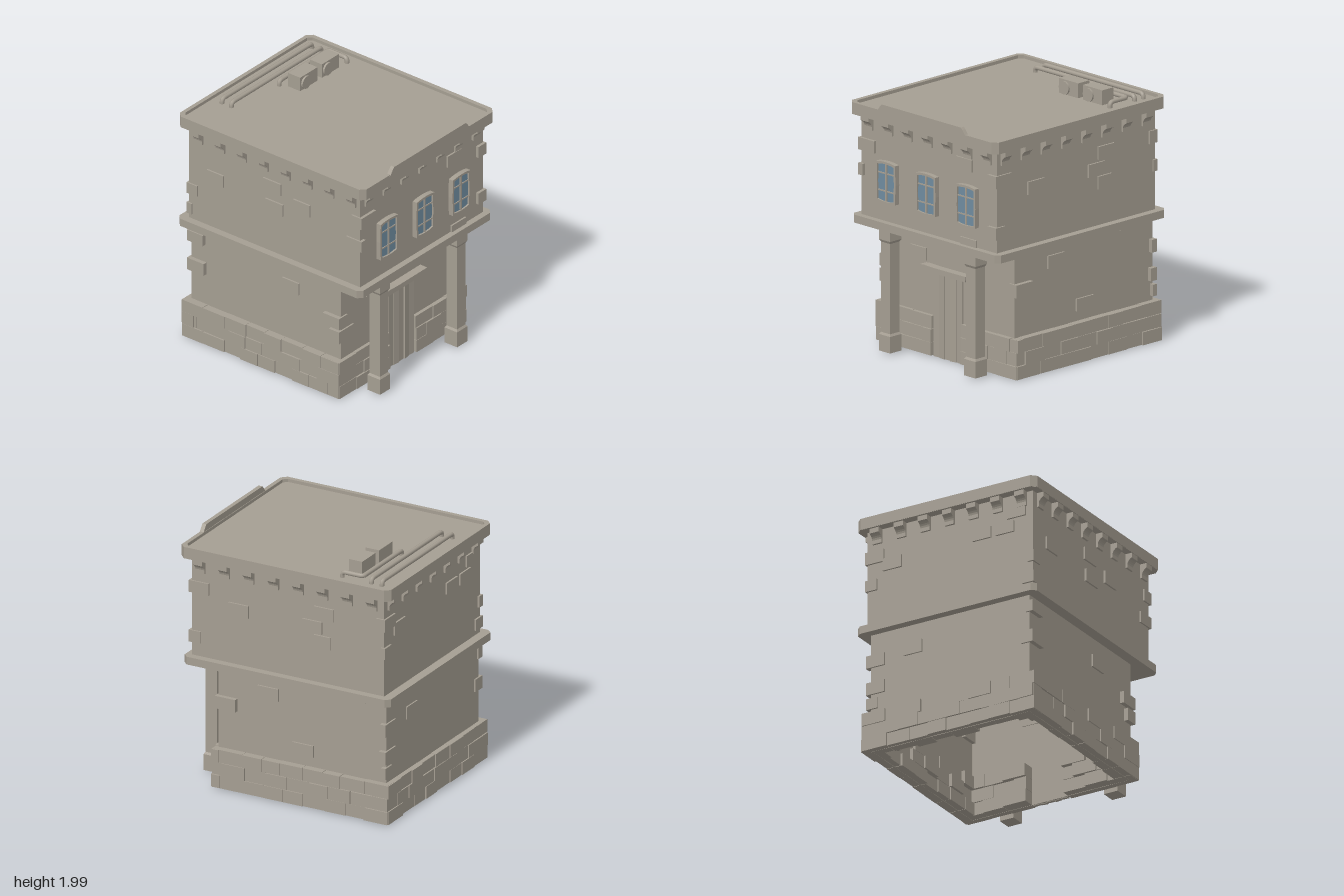
import * as THREE from 'three';

const stone = new THREE.MeshStandardMaterial({ color: 0xa59e92 });
stone.name = 'stone';
stone.side = THREE.DoubleSide;
const glass = new THREE.MeshStandardMaterial({ color: 0x6f8ca0 });
glass.name = 'windowGlass';

let seed = 7;
const rand = () => (seed = (seed * 16807) % 2147483647) / 2147483647;

export function createModel() {
  const model = new THREE.Group();
  model.name = 'building';

  const add = (name, geo, mat = stone, parent = model) => {
    const m = new THREE.Mesh(geo, mat);
    m.name = name;
    parent.add(m);
    return m;
  };
  const group = (name) => {
    const g = new THREE.Group();
    g.name = name;
    model.add(g);
    return g;
  };
  // Box given by its extents
  const box = (name, x0, x1, y0, y1, z0, z1, mat = stone, parent = model) => {
    const m = add(name, new THREE.BoxGeometry(x1 - x0, y1 - y0, z1 - z0), mat, parent);
    m.position.set((x0 + x1) / 2, (y0 + y1) / 2, (z0 + z1) / 2);
    return m;
  };
  // Floor-plan rectangle with chamfered corners (plan y = -z)
  const plan = (x, back, front, c, Type = THREE.Shape) => {
    const a = -front, b = -back;
    return new Type([[-x + c, a], [x - c, a], [x, a + c], [x, b - c], [x - c, b], [-x + c, b], [-x, b - c], [-x, a + c]]
      .map((p) => new THREE.Vector2(...p)));
  };
  const slab = (name, shape, y0, y1) => {
    const geo = new THREE.ExtrudeGeometry(shape, { depth: y1 - y0, bevelEnabled: false });
    geo.rotateX(-Math.PI / 2).translate(0, y0, 0);
    return add(name, geo);
  };

  // Walls: hollow ground floor open underneath, closed upper floor
  const lower = plan(0.692, -0.83, 0.605, 0.001);
  lower.holes.push(plan(0.675, -0.813, 0.588, 0.001, THREE.Path));
  slab('groundFloorWalls', lower, 0.012, 0.98);
  box('upperFloorWalls', -0.72, 0.72, 1.0, 1.85, -0.828, 0.815);
  slab('middleLedge', plan(0.78, -0.9, 0.865, 0.035), 0.968, 1.03);

  // Roof: slab, raised rim and front parapet
  slab('roofSlab', plan(0.779, -0.899, 0.892, 0.04), 1.818, 1.885);
  const rim = plan(0.78, -0.9, 0.893, 0.04);
  rim.holes.push(plan(0.745, -0.868, 0.86, 0.03, THREE.Path));
  slab('roofRim', rim, 1.82, 1.91);
  const crest = new THREE.Shape([[-0.47, 1.9], [0.47, 1.9], [0.435, 1.945], [0.42, 1.96], [-0.42, 1.96], [-0.435, 1.945]]
    .map((p) => new THREE.Vector2(...p)));
  add('parapet', new THREE.ExtrudeGeometry(crest, { depth: 0.033, bevelEnabled: false })).position.z = 0.864;

  // Brackets under the cornice
  const brackets = group('brackets');
  const profile = new THREE.Shape();
  profile.moveTo(-0.01, 1.705);
  profile.lineTo(0.016, 1.705);
  profile.lineTo(0.016, 1.735);
  profile.quadraticCurveTo(0.022, 1.765, 0.055, 1.78);
  profile.lineTo(0.055, 1.82);
  profile.lineTo(-0.01, 1.82);
  const bracketGeo = new THREE.ExtrudeGeometry(profile, { depth: 0.08, bevelEnabled: false, curveSegments: 4 });
  bracketGeo.translate(0, 0, -0.04);
  const bracket = (x, z, turn) => {
    const m = add('bracket', bracketGeo, stone, brackets);
    m.position.set(x, 0, z);
    m.rotation.y = turn;
  };
  for (let i = -3; i <= 3; i++) {
    bracket(i * 0.21, 0.815, -Math.PI / 2);
    bracket(i * 0.21, -0.828, Math.PI / 2);
  }
  for (let i = 0; i < 8; i++) {
    bracket(0.72, 0.74 - i * 0.21, 0);
    bracket(-0.72, 0.74 - i * 0.21, Math.PI);
  }

  // Brick placed in a wall: u runs along the wall, out is the outer face
  const brick = (parent, side, u0, u1, y0, y1, out, deep = 0.09) => {
    const [a, b] = side === 'right' || side === 'front' ? [out - deep, out] : [-out, -out + deep];
    if (side === 'front' || side === 'back') box('brick', u0, u1, y0, y1, a, b, stone, parent);
    else box('brick', a, b, y0, y1, u0, u1, stone, parent);
  };

  // Three rough courses of base bricks
  const base = group('baseBricks');
  const runs = {
    front: [[-0.745, -0.155], [0.155, 0.745]], back: [[-0.745, 0.745]],
    right: [[-0.87, 0.635]], left: [[-0.87, 0.635]],
  };
  const baseOut = { front: 0.632, back: 0.865, right: 0.742, left: 0.742 };
  for (const side in runs) for (const [start, end] of runs[side]) for (let row = 0; row < 3; row++) {
    let u = start, w = row % 2 ? 0.11 : 0.2;
    while (u < end - 0.01) {
      let stop = Math.min(u + w, end);
      if (end - stop < 0.06) stop = end;
      const y = 0.013 + row * 0.103;
      brick(base, side, u, stop - 0.002, y + rand() * 0.003, y + 0.1 + rand() * 0.004, baseOut[side] + rand() * 0.015, 0.11 + rand() * 0.04);
      u = stop;
      w = 0.15 + rand() * 0.06;
    }
  }

  // Loose bricks in the walls: [u0, u1, y0, y1]
  const loose = group('wallBricks');
  const patches = {
    right: [[0.33, 0.5, 1.42, 1.52], [-0.3, -0.13, 1.42, 1.52], [-0.4, -0.23, 1.54, 1.64], [-0.37, -0.23, 1.31, 1.41],
      [-0.66, -0.49, 0.93, 1.03], [0.09, 0.265, 0.79, 0.89], [-0.21, -0.03, 0.4, 0.495]],
    left: [[-0.09, 0.08, 1.37, 1.47], [-0.11, 0.06, 1.54, 1.64], [0.18, 0.34, 1.46, 1.56], [-0.65, -0.49, 1.41, 1.51],
      [0.05, 0.21, 0.73, 0.83]],
    front: [[0.34, 0.51, 1.03, 1.085], [0.295, 0.465, 1.605, 1.7], [-0.4, -0.235, 0.73, 0.825]],
    back: [[0.42, 0.58, 1.47, 1.57], [-0.36, -0.2, 1.52, 1.61], [-0.56, -0.4, 1.52, 1.61], [-0.66, -0.5, 1.63, 1.72],
      [0.24, 0.4, 0.73, 0.83]],
  };
  for (const side in patches) for (const [u0, u1, y0, y1] of patches[side]) {
    const up = y0 > 1;
    const wall = { front: up ? 0.815 : 0.605, back: 0.828, right: up ? 0.72 : 0.692, left: up ? 0.72 : 0.692 }[side];
    brick(loose, side, u0, u1, y0, y1, wall + 0.014);
  }

  // Corner bricks: [x sign, z sign, y0, y1, length along x, length along z]
  const corners = [
    [1, 1, 1.535, 1.63, 0.09, 0.17], [1, 1, 1.135, 1.23, 0.09, 0.1], [1, 1, 0.64, 0.74, 0.08, 0.175],
    [-1, 1, 1.535, 1.63, 0.17, 0.1], [-1, 1, 1.34, 1.43, 0.05, 0.15], [-1, 1, 0.47, 0.57, 0.175, 0.1],
    [-1, 1, 0.59, 0.685, 0.1, 0.16], [1, -1, 1.55, 1.65, 0.16, 0.08], [1, -1, 1.33, 1.42, 0.1, 0.04],
    [1, -1, 0.7, 0.8, 0.16, 0.05], [1, -1, 0.48, 0.58, 0.16, 0.06], [1, -1, 0.36, 0.45, 0.1, 0.04],
    [-1, -1, 1.24, 1.33, 0.05, 0.1], [-1, -1, 1.07, 1.16, 0.1, 0.05], [-1, -1, 0.83, 0.92, 0.06, 0.15],
    [-1, -1, 0.58, 0.68, 0.1, 0.16],
  ];
  for (const [sx, sz, y0, y1, lx, lz] of corners) {
    const x = sx * (y0 > 1 ? 0.733 : 0.727), z = sz * (sz < 0 ? 0.843 : y0 > 1 ? 0.838 : 0.618);
    const xi = x - sx * lx, zi = z - sz * lz;
    box('cornerBrick', Math.min(x, xi), Math.max(x, xi), y0, y1, Math.min(z, zi), Math.max(z, zi), stone, loose);
  }

  // Porch columns: square section with wider base and cap
  const columnProfile = [[0.001, 0.02], [0.06, 0.02], [0.06, 0.148], [0.049, 0.165], [0.049, 0.865], [0.06, 0.885], [0.06, 0.97]]
    .map(([r, y]) => new THREE.Vector2(r * Math.SQRT2, y));
  const columnGeo = new THREE.LatheGeometry(columnProfile, 4, Math.PI / 4).toNonIndexed();
  columnGeo.computeVertexNormals();
  for (const x of [-0.453, 0.453]) add('porchColumn', columnGeo).position.set(x, 0, 0.776);

  // Door: five uneven planks and a lintel
  const door = group('door');
  for (let i = 0; i < 5; i++) {
    const plank = box('doorPlank', -0.029, 0.029, 0.008, 0.68, -0.012, 0.012, stone, door);
    plank.position.x = (i - 2) * 0.061;
    plank.position.z = 0.607 + (i % 2) * 0.006;
    plank.rotation.y = [0.08, -0.12, 0.05, 0.14, -0.08][i];
  }
  const lintel = new THREE.Shape([[-0.222, 0.672], [0.235, 0.672], [0.243, 0.715], [-0.1, 0.713], [-0.2, 0.717], [-0.245, 0.713]]
    .map((p) => new THREE.Vector2(...p)));
  add('doorLintel', new THREE.ExtrudeGeometry(lintel, { depth: 0.09, bevelEnabled: false }), stone, door).position.z = 0.582;

  // Windows: arched frame, glass and glazing bars
  const outline = (w, h, arch, Type) => {
    const s = new Type();
    s.moveTo(-w, -h);
    s.quadraticCurveTo(0, -h - arch, w, -h);
    s.lineTo(w + 0.004, 0);
    s.lineTo(w, h);
    s.quadraticCurveTo(0, h + arch, -w, h);
    s.lineTo(-w - 0.004, 0);
    s.closePath();
    return s;
  };
  const frame = outline(0.103, 0.152, 0.022, THREE.Shape);
  frame.holes.push(outline(0.086, 0.136, 0.02, THREE.Path));
  const frameGeo = new THREE.ExtrudeGeometry(frame, { depth: 0.042, bevelEnabled: false, curveSegments: 6 });
  const paneGeo = new THREE.ExtrudeGeometry(outline(0.088, 0.138, 0.02, THREE.Shape), { depth: 0.006, bevelEnabled: false, curveSegments: 6 });
  for (const x of [-0.424, 0, 0.424]) {
    const win = group('window');
    win.position.set(x, 1.34, 0.813);
    add('windowFrame', frameGeo, stone, win);
    add('windowPane', paneGeo, glass, win).position.z = 0.022;
    box('verticalBar', -0.007, 0.007, -0.144, 0.144, 0.02, 0.037, stone, win);
    for (const y of [-0.067, 0.07]) box('crossBar', -0.088, 0.088, y - 0.005, y + 0.005, 0.02, 0.034, stone, win);
  }

  // Roof machinery: two cooling units with round fan covers
  for (const x of [0.105, 0.36]) {
    const unit = group('coolingUnit');
    box('unitCase', x, x + 0.203, 1.88, 2.0, -0.55, -0.435, stone, unit);
    const fan = add('fanCover', new THREE.CylinderGeometry(0.052, 0.052, 0.016, 16), stone, unit);
    fan.rotation.x = Math.PI / 2;
    fan.position.set(x + 0.062, 1.938, -0.428);
  }

  // Roof pipes with ends turned down
  const pipe = (points) => {
    const path = new THREE.CurvePath();
    const v = points.map((p) => new THREE.Vector3(...p));
    const r = 0.03;
    let from = v[0];
    for (let i = 1; i < v.length; i++) {
      if (i === v.length - 1) { path.add(new THREE.LineCurve3(from, v[i])); break; }
      const a = v[i].clone().add(v[i - 1].clone().sub(v[i]).setLength(r));
      const b = v[i].clone().add(v[i + 1].clone().sub(v[i]).setLength(r));
      path.add(new THREE.LineCurve3(from, a));
      path.add(new THREE.QuadraticBezierCurve3(a, v[i], b));
      from = b;
    }
    add('roofPipe', new THREE.TubeGeometry(path, 90, 0.018, 8));
  };
  for (const z of [-0.772, -0.682]) pipe([[-0.4, 1.87, z], [-0.4, 1.925, z], [0.655, 1.925, z], [0.655, 1.87, z]]);
  pipe([[0.07, 1.87, -0.608], [0.07, 1.928, -0.608], [0.65, 1.928, -0.608], [0.65, 1.928, -0.43], [0.65, 1.87, -0.43]]);

  return model;
}
